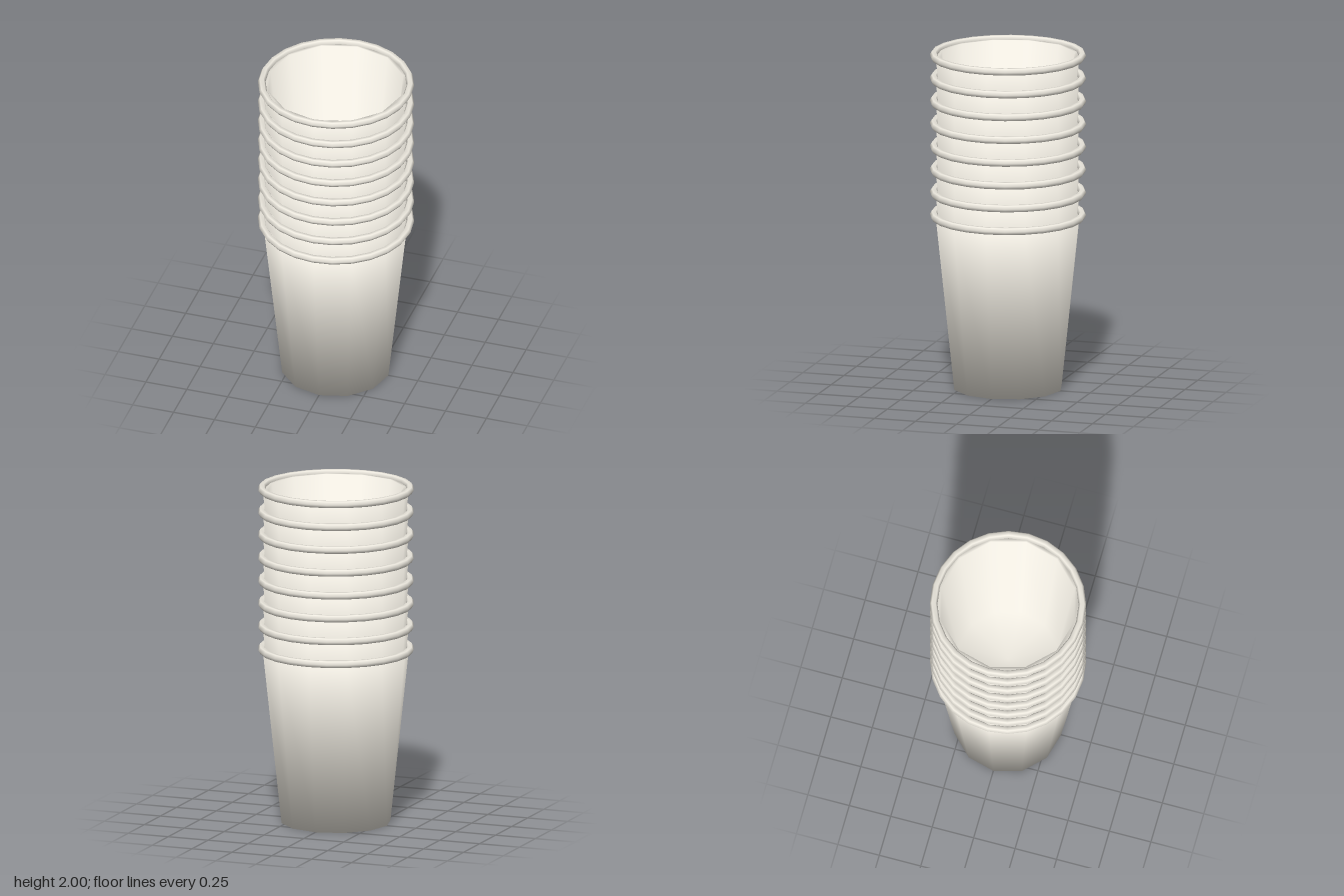
import * as THREE from 'three';

const CUPS = 8;
const STEP = 0.136;
const RIM_Y = 1.029;
const SIDES = 12;

// Lathe whose normals average the neighbouring bands equally, giving soft corners
function softLathe(points, sides) {
  const geometry = new THREE.LatheGeometry(points, sides);
  const bands = points.slice(1).map((p, i) => {
    const d = p.clone().sub(points[i]).normalize();
    return new THREE.Vector2(d.y, -d.x);
  });
  const soft = points.map((_, j) => {
    const before = bands[Math.max(j - 1, 0)];
    const after = bands[Math.min(j, bands.length - 1)];
    return before.clone().add(after).normalize();
  });
  const normal = geometry.attributes.normal;
  for (let k = 0; k < normal.count; k++) {
    const n = soft[k % points.length];
    const angle = (Math.floor(k / points.length) / sides) * Math.PI * 2;
    normal.setXYZ(k, n.x * Math.sin(angle), n.y, n.x * Math.cos(angle));
  }
  return geometry;
}

export function createModel() {
  const stack = new THREE.Group();
  stack.name = 'cupStack';
  const material = new THREE.MeshStandardMaterial({ color: 0xeeeae0 });

  // Closed wall profile: recessed base, outer wall, lip, inner wall, floor
  const profile = [
    [0, 0.06], [0.19, 0.06], [0.21, 0], [0.32, 0],
    [0.43, RIM_Y], [0.4, RIM_Y], [0.3, 0.1], [0, 0.1],
  ].map(([r, y]) => new THREE.Vector2(r, y));
  const wallGeometry = softLathe(profile, SIDES);

  // Rolled rim with a six-sided section
  const rimGeometry = new THREE.TorusGeometry(0.4325, 0.0225, 6, 24).rotateX(Math.PI / 2);

  for (let i = 0; i < CUPS; i++) {
    const cup = new THREE.Group();
    cup.name = `cup${i + 1}`;
    cup.position.y = i * STEP;

    const wall = new THREE.Mesh(wallGeometry, material);
    wall.name = 'cupWall';

    const rim = new THREE.Mesh(rimGeometry, material);
    rim.name = 'rolledRim';
    rim.position.y = RIM_Y;

    cup.add(wall, rim);
    stack.add(cup);
  }
  return stack;
}
